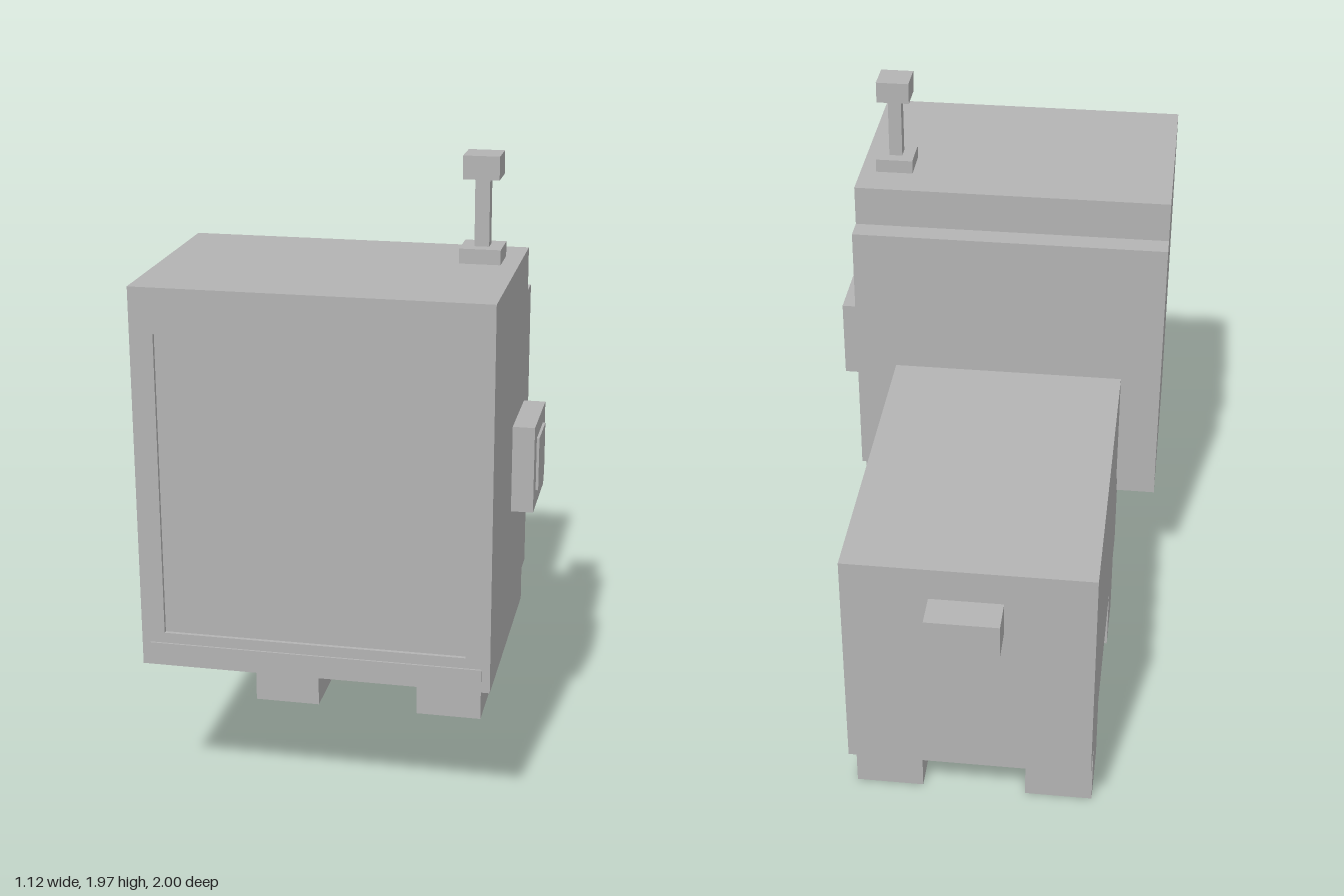
import * as THREE from 'three';

export function createModel() {
  const model = new THREE.Group();
  const grey = new THREE.MeshStandardMaterial({ color: 0xb3b3b3 });
  grey.name = 'plain grey';

  // Box given by its extent along each axis
  function block(name, [x0, x1], [y0, y1], [z0, z1], parent = model) {
    const mesh = new THREE.Mesh(new THREE.BoxGeometry(x1 - x0, y1 - y0, z1 - z0), grey);
    mesh.position.set((x0 + x1) / 2, (y0 + y1) / 2, (z0 + z1) / 2);
    mesh.name = name;
    parent.add(mesh);
    return mesh;
  }

  function group(name) {
    const g = new THREE.Group();
    g.name = name;
    model.add(g);
    return g;
  }

  function rectangle(target, [x0, x1], [y0, y1]) {
    target.moveTo(x0, y0).lineTo(x1, y0).lineTo(x1, y1).lineTo(x0, y1).closePath();
    return target;
  }

  // Body, tail and four legs
  block('body', [-0.43, 0.35], [0.23, 1.01], [-0.89, 0.34]);
  block('tail', [-0.15, 0.08], [0.785, 0.9], [-1, -0.89]);
  const legs = group('legs');
  for (const [end, z] of [['front', 0.01], ['back', -0.77]]) {
    for (const [side, x] of [['Right', -0.43], ['Left', 0.13]]) {
      block(end + side + 'Leg', [x, x + 0.22], [0, 0.23], [z, z + 0.22], legs);
    }
  }

  // Boxy head with a raised back panel
  const head = group('head');
  const headX = [-0.565, 0.485], headY = [0.485, 1.65];
  block('headCase', headX, headY, [0.295, 0.982], head);
  block('headBack', headX, [0.59, 1.515], [0.22, 0.295], head);

  // Front frame around the slightly sunken screen
  const outline = rectangle(new THREE.Shape(), headX, headY);
  outline.holes.push(rectangle(new THREE.Path(), [-0.495, 0.412], [0.59, 1.515]));
  const frame = new THREE.Mesh(
    new THREE.ExtrudeGeometry(outline, { depth: 0.012, bevelEnabled: false }), grey);
  frame.position.z = 0.982;
  frame.name = 'screenFrame';
  head.add(frame);
  block('frontStrip', [-0.54, 0.46], [0.52, 0.558], [0.994, 1], head);

  // Square ear knob on the left side
  const knob = group('sideKnob');
  block('knobBase', [0.485, 0.552], [0.9, 1.17], [0.33, 0.595], knob);
  block('knobPlate', [0.552, 0.56], [0.953, 1.12], [0.388, 0.54], knob);

  // Antenna
  const antenna = group('antenna');
  block('antennaBase', [0.308, 0.432], [1.65, 1.695], [0.42, 0.543], antenna);
  block('antennaStem', [0.348, 0.392], [1.695, 1.9], [0.46, 0.504], antenna);
  block('antennaTip', [0.316, 0.424], [1.9, 1.97], [0.428, 0.536], antenna);

  return model;
}
